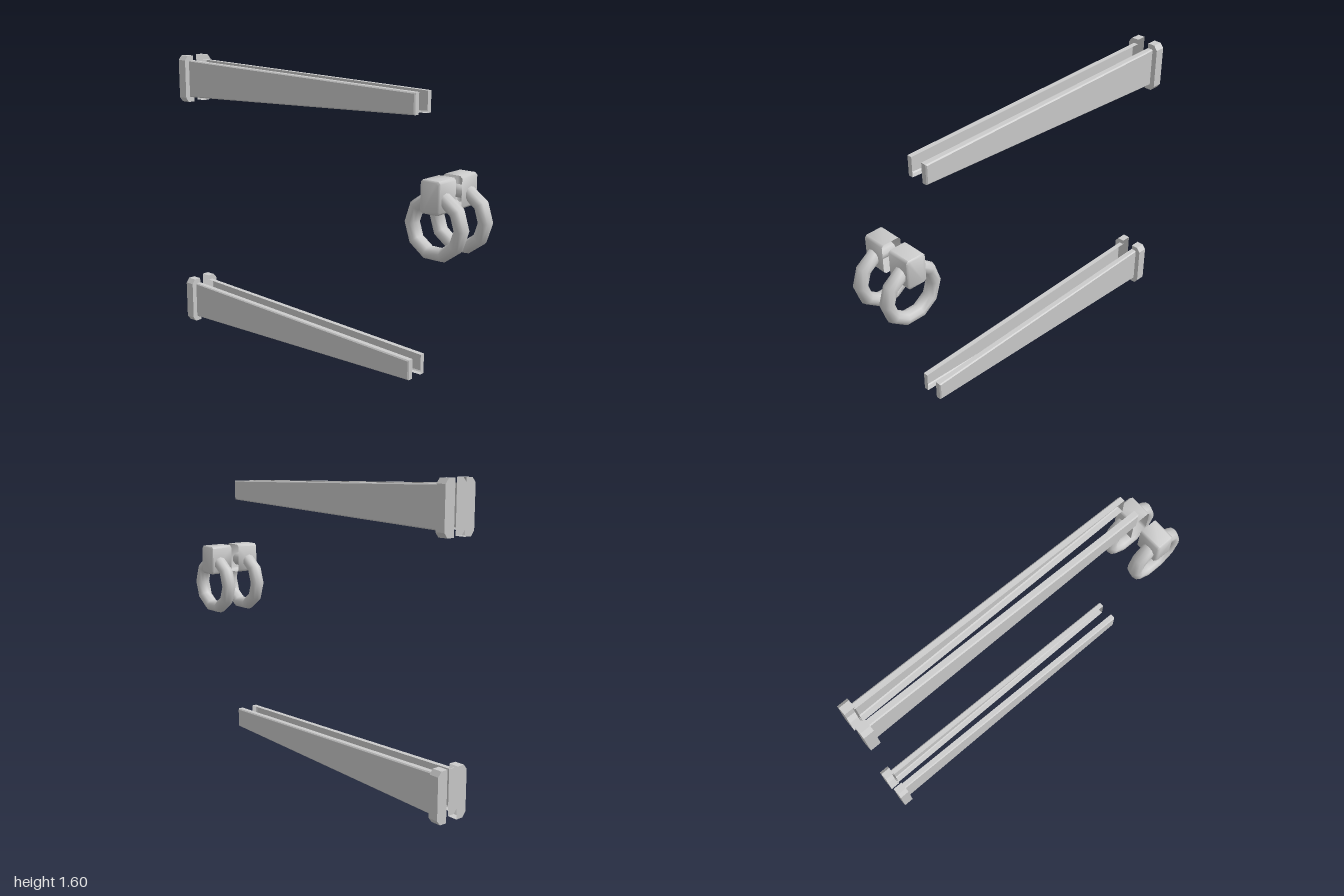
import * as THREE from 'three';
import { toCreasedNormals } from 'three/addons/utils/BufferGeometryUtils.js';

const flatMat = new THREE.MeshStandardMaterial({ color: 0xcccccc, flatShading: true, side: THREE.DoubleSide });
const smoothMat = new THREE.MeshStandardMaterial({ color: 0xcccccc, side: THREE.DoubleSide });

// Open-backed shell: a counter-clockwise outline raised from z0 to z1, its outer
// edge chamfered by (ix, iy, iz). side = 1 faces +z, side = -1 is the mirror.
function shell(outline, z0, z1, [ix, iy, iz], side) {
  const cx = outline.reduce((s, p) => s + p[0], 0) / outline.length;
  const cy = outline.reduce((s, p) => s + p[1], 0) / outline.length;
  const inset = ([x, y]) => [x - Math.sign(x - cx) * ix, y - Math.sign(y - cy) * iy];
  const rings = [
    outline.map(([x, y]) => [x, y, z0]),
    outline.map(([x, y]) => [x, y, z1 - iz]),
    outline.map((p) => [...inset(p), z1]),
  ];
  const pos = [];
  const tri = (a, b, c) => {
    for (const p of side > 0 ? [a, b, c] : [a, c, b]) pos.push(p[0], p[1], p[2] * side);
  };
  const n = outline.length;
  for (let r = 0; r < 2; r++) {
    for (let i = 0; i < n; i++) {
      const j = (i + 1) % n;
      tri(rings[r][i], rings[r][j], rings[r + 1][j]);
      tri(rings[r][i], rings[r + 1][j], rings[r + 1][i]);
    }
  }
  for (let i = 1; i < n - 1; i++) tri(rings[2][0], rings[2][i], rings[2][i + 1]);
  const geo = new THREE.BufferGeometry();
  geo.setAttribute('position', new THREE.Float32BufferAttribute(pos, 3));
  geo.computeVertexNormals();
  return geo;
}

function add(group, name, geo, mat) {
  const mesh = new THREE.Mesh(geo, mat);
  mesh.name = name;
  group.add(mesh);
  return mesh;
}

// Tapered strap with a taller collar at its wide end
function createHinge(side) {
  const hinge = new THREE.Group();
  hinge.name = 'hinge';
  const strap = [[-0.95, 0.027], [0.66, 0.08], [0.66, 0.187], [-0.95, 0.237]];
  add(hinge, 'strap', shell(strap, 0.035, 0.068, [0.006, 0.006, 0.006], side), flatMat);
  const collar = [[-1, 0], [-0.945, 0], [-0.945, 0.263], [-1, 0.263]];
  add(hinge, 'collar', shell(collar, 0.035, 0.096, [0, 0.025, 0.02], side), flatMat);
  return hinge;
}

// Ring hanging from a mounting block
function createHandle(side) {
  const handle = new THREE.Group();
  handle.name = 'ringHandle';
  const x0 = 0.767, x1 = 0.877, y0 = 0.982, y1 = 1.143, c = 0.012;
  const block = [
    [x0 + c, y0], [x1 - c, y0], [x1, y0 + c], [x1, y1 - c],
    [x1 - c, y1], [x0 + c, y1], [x0, y1 - c], [x0, y0 + c],
  ];
  const blockGeo = toCreasedNormals(shell(block, 0.025, 0.159, [0.008, 0.008, 0.008], side), 0.9);
  add(handle, 'mountBlock', blockGeo, smoothMat);
  const ring = add(handle, 'ring', new THREE.TorusGeometry(0.14, 0.034, 10, 10), smoothMat);
  ring.scale.z = 1.2;
  ring.position.set(0.826, 0.918, 0.1 * side);
  return handle;
}

export function createModel() {
  const model = new THREE.Group();
  model.name = 'doorHardware';
  for (const side of [1, -1]) {
    for (const y of [0, 1.337]) {
      const hinge = createHinge(side);
      hinge.position.y = y;
      model.add(hinge);
    }
    model.add(createHandle(side));
  }
  return model;
}
